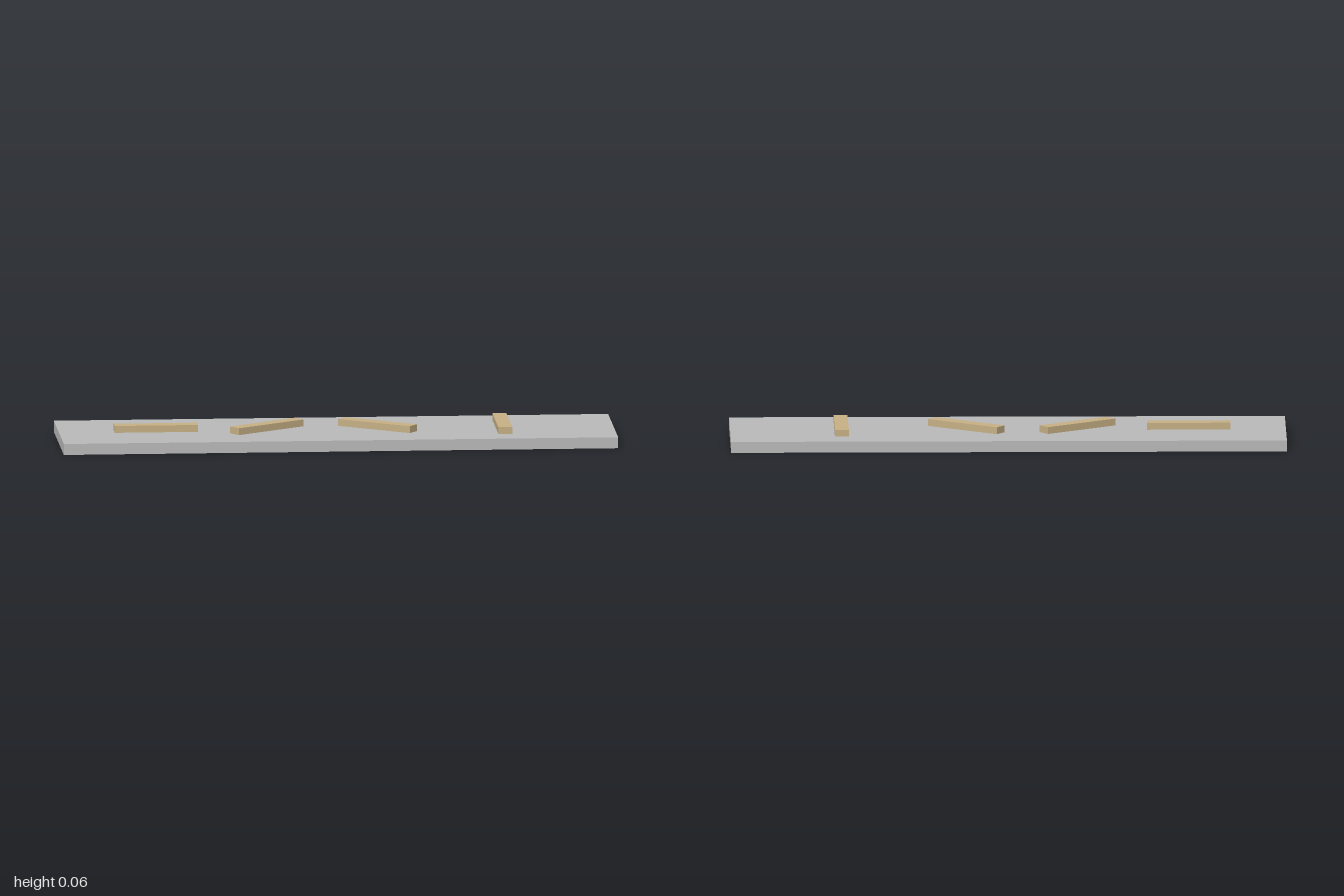
import * as THREE from 'three';

export function createModel() {
  const group = new THREE.Group();
  const grey = new THREE.MeshStandardMaterial({ color: 0xb8b8b8 });
  grey.name = 'grey';
  const tan = new THREE.MeshStandardMaterial({ color: 0xc5af84 });
  tan.name = 'tan';

  // Flat base board
  const baseHeight = 0.04;
  const base = new THREE.Mesh(new THREE.BoxGeometry(2, baseHeight, 0.5), grey);
  base.name = 'base';
  base.position.y = baseHeight / 2;
  group.add(base);

  // Four identical bars lying on the board, each turned differently: [x, degrees]
  const barHeight = 0.025;
  const barGeometry = new THREE.BoxGeometry(0.3, barHeight, 0.05);
  const bars = [[-0.65, 0], [-0.25, 35], [0.15, -35], [0.6, 90]];
  bars.forEach(([x, degrees], i) => {
    const bar = new THREE.Mesh(barGeometry, tan);
    bar.name = `bar${i + 1}`;
    bar.position.set(x, baseHeight + barHeight / 2, 0);
    bar.rotation.y = THREE.MathUtils.degToRad(degrees);
    group.add(bar);
  });

  return group;
}
